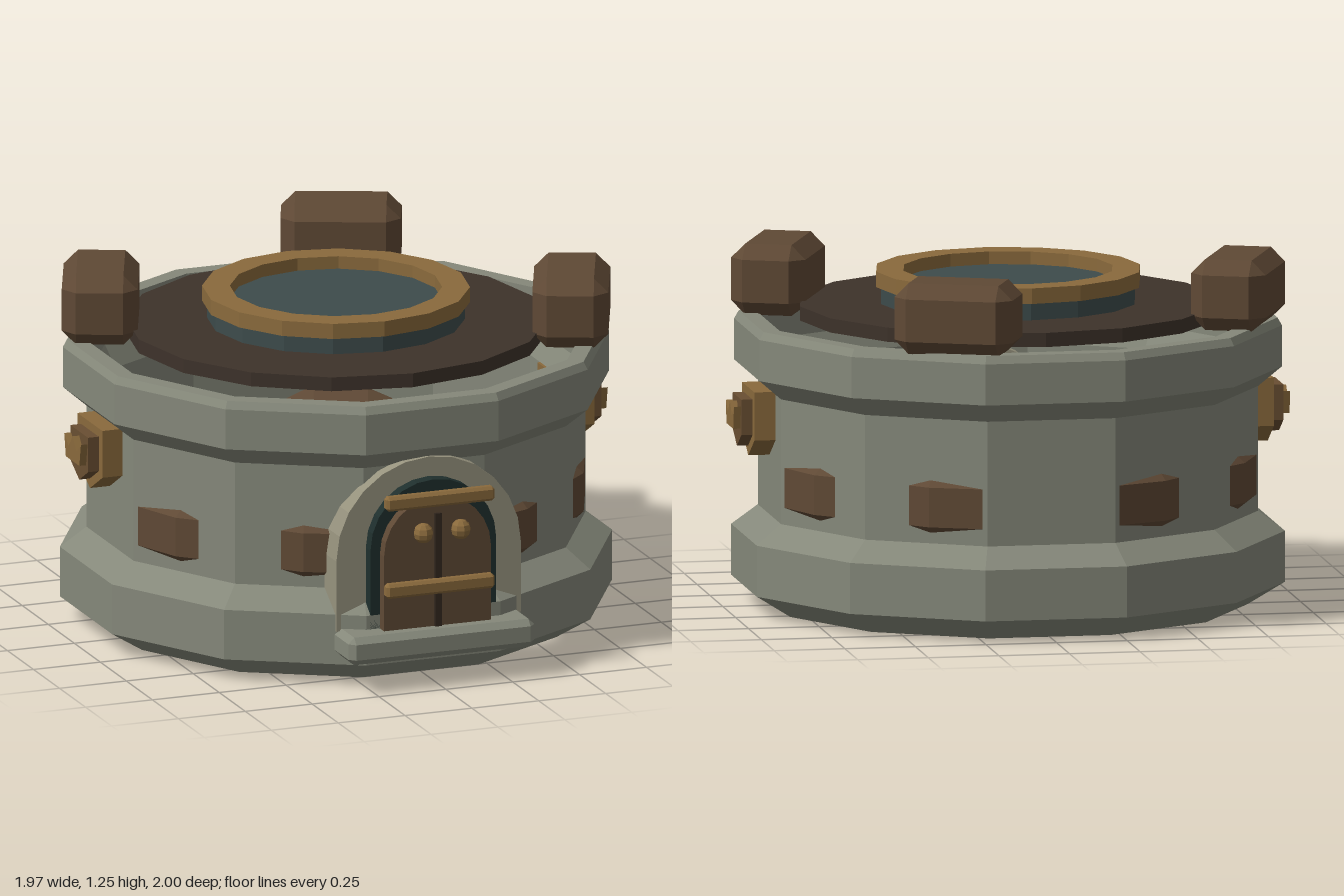
import * as THREE from 'three';
import { ConvexGeometry } from 'three/addons/geometries/ConvexGeometry.js';

const STONE = 0x85887a, WOOD = 0x5f4935, GOLD = 0x8a6a3c, ROOF = 0x3d322a;
const GLASS = 0x3d4b4b, RECESS = 0x1f2f2d, TRIM = 0x97937e, DARK = 0x33281f;

function add(parent, name, geometry, color, x = 0, y = 0, z = 0) {
  const material = new THREE.MeshStandardMaterial({ color, flatShading: true });
  const mesh = new THREE.Mesh(geometry, material);
  mesh.name = name;
  mesh.position.set(x, y, z);
  parent.add(mesh);
  return mesh;
}

// Box with every edge cut; the cut may differ per axis
function chamferBox(w, h, d, cx, cy = cx, cz = cx) {
  const a = w / 2, b = h / 2, c = d / 2, points = [];
  for (const sx of [-1, 1]) for (const sy of [-1, 1]) for (const sz of [-1, 1]) {
    points.push(
      new THREE.Vector3(sx * a, sy * (b - cy), sz * (c - cz)),
      new THREE.Vector3(sx * (a - cx), sy * b, sz * (c - cz)),
      new THREE.Vector3(sx * (a - cx), sy * (b - cy), sz * c));
  }
  return new ConvexGeometry(points);
}

// Ring with a closed profile; radii are measured to the flats
function ringGeometry(profile, sides, scale = 1) {
  const points = [...profile, profile[0]].map(([r, y]) => new THREE.Vector2(r * scale, y));
  return new THREE.LatheGeometry(points, sides);
}

function extrude(shape, depth, curveSegments = 6) {
  return new THREE.ExtrudeGeometry(shape, { depth, bevelEnabled: false, curveSegments });
}

// Round-topped outline
function archShape(halfWidth, bottom, top) {
  const s = new THREE.Shape();
  s.moveTo(-halfWidth, bottom);
  s.lineTo(halfWidth, bottom);
  s.lineTo(halfWidth, top - halfWidth);
  s.absarc(0, top - halfWidth, halfWidth, 0, Math.PI, false);
  s.closePath();
  return s;
}

function polygon(points) {
  return new THREE.Shape(points.map(([x, y]) => new THREE.Vector2(x, y)));
}

function shieldShape(w, top, shoulder, tip) {
  return polygon([[-w, top], [-w, shoulder], [0, tip], [w, shoulder], [w, top]]);
}

function makeEmblem() {
  const emblem = new THREE.Group();
  add(emblem, 'shieldRim', extrude(shieldShape(0.12, 0.78, 0.61, 0.54), 0.12), GOLD, 0, 0, 0.80);
  add(emblem, 'shieldPanel', extrude(shieldShape(0.085, 0.75, 0.625, 0.575), 0.04), 0x6a4f32, 0, 0, 0.92);
  const crown = polygon([[-0.065, 0.645], [0.065, 0.645], [0.08, 0.725], [0.038, 0.69],
    [0, 0.735], [-0.038, 0.69], [-0.08, 0.725]]);
  add(emblem, 'crown', extrude(crown, 0.025), GOLD, 0, 0, 0.96);
  return emblem;
}

function makeDoor() {
  const door = new THREE.Group();
  door.name = 'door';
  add(door, 'doorSurround', extrude(archShape(0.345, 0.2, 0.8), 0.145), TRIM, 0, 0, 0.69);
  add(door, 'doorRecess', extrude(archShape(0.235, 0.2, 0.73), 0.045), RECESS, 0, 0, 0.835);
  add(door, 'doorPanel', extrude(archShape(0.2, 0.2, 0.68), 0.04), WOOD, 0, 0, 0.88);
  add(door, 'doorGap', new THREE.BoxGeometry(0.025, 0.42, 0.012), DARK, 0, 0.41, 0.925);
  for (const y of [0.36, 0.677]) {
    add(door, 'doorBar', chamferBox(0.405, 0.052, 0.04, 0.01), GOLD, 0, y, 0.938);
  }
  for (const x of [-0.07, 0.07]) {
    add(door, 'doorKnob', new THREE.SphereGeometry(0.036, 8, 6), GOLD, x, 0.565, 0.964);
  }
  add(door, 'doorStep', chamferBox(0.695, 0.1, 0.21, 0.022), STONE, 0, 0.16, 0.873);
  return door;
}

export function createModel() {
  const model = new THREE.Group();
  const tower = new THREE.Group();
  tower.name = 'tower';
  tower.position.z = -0.055;
  model.add(tower);

  // Hollow twelve-sided wall with flared base and parapet
  const profile = [[0.81, 0], [0.935, 0.08], [0.935, 0.26], [0.845, 0.33], [0.845, 0.77],
    [0.925, 0.84], [0.925, 0.985], [0.91, 1.012], [0.85, 1.012], [0.85, 0.86], [0.81, 0.78]];
  const wall = add(tower, 'wall', ringGeometry(profile, 12, 1 / Math.cos(Math.PI / 12)), STONE);
  wall.rotation.y = Math.PI / 12;

  // Roof disc with a framed round window
  add(tower, 'roof', new THREE.CylinderGeometry(0.737, 0.737, 0.05, 16), ROOF, 0, 1.035, 0);
  add(tower, 'skylight', new THREE.CylinderGeometry(0.45, 0.45, 0.08, 16), GLASS, 0, 1.09, 0);
  add(tower, 'skylightFrame',
    ringGeometry([[0.37, 1.12], [0.467, 1.12], [0.467, 1.175], [0.37, 1.175]], 16), GOLD);

  // Blocks set into the wall, eight around
  const block = chamferBox(0.39, 0.22, 0.12, 0.1, 0.04, 0.045);
  for (let i = 0; i < 8; i++) {
    const a = (i + 0.5) * Math.PI / 4;
    add(tower, 'wallBlock', block, WOOD, 0.805 * Math.sin(a), 0.46, 0.805 * Math.cos(a)).rotation.y = a;
  }

  // Three battlements remaining on the parapet
  const merlon = chamferBox(0.42, 0.25, 0.265, 0.05);
  for (const degrees of [67.5, 157.5, 247.5]) {
    const a = THREE.MathUtils.degToRad(degrees);
    add(tower, 'battlement', merlon, WOOD, 0.82 * Math.sin(a), 1.13, 0.82 * Math.cos(a)).rotation.y = a;
  }

  // Shield on each side
  for (const side of [-1, 1]) {
    const emblem = makeEmblem();
    emblem.name = side > 0 ? 'leftShield' : 'rightShield';
    emblem.rotation.y = side * Math.PI / 2;
    tower.add(emblem);
  }

  model.add(makeDoor());
  return model;
}
